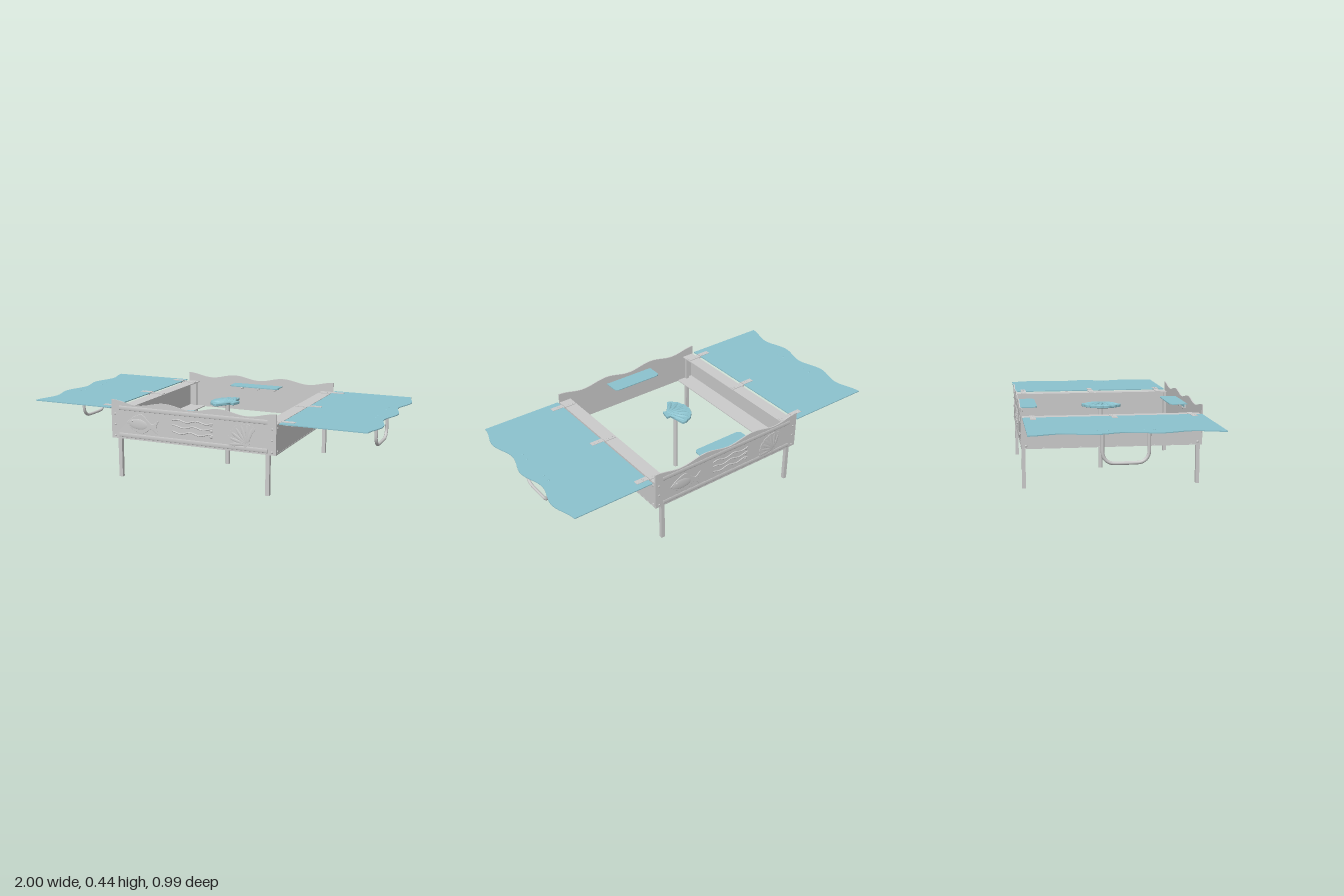
import * as THREE from 'three';

const grey = new THREE.MeshStandardMaterial({ color: 0xcccccc });
const blue = new THREE.MeshStandardMaterial({ color: 0x8cc3cf });

function add(parent, name, geometry, material, x = 0, y = 0, z = 0) {
  const m = new THREE.Mesh(geometry, material);
  m.name = name;
  m.position.set(x, y, z);
  parent.add(m);
  return m;
}
const box = (parent, name, mat, w, h, d, x, y, z) =>
  add(parent, name, new THREE.BoxGeometry(w, h, d), mat, x, y, z);

function sub(parent, name) {
  const g = new THREE.Group();
  g.name = name;
  parent.add(g);
  return g;
}

const v2 = (pts) => pts.map(([x, y]) => new THREE.Vector2(x, y));
const extrude = (shape, depth, bevel = 0) => new THREE.ExtrudeGeometry(shape, {
  depth, curveSegments: 12, bevelEnabled: bevel > 0, bevelSize: bevel, bevelThickness: bevel, bevelSegments: 3,
});

function tube(points, radius, closed = false) {
  const curve = new THREE.CatmullRomCurve3(points.map((p) => new THREE.Vector3(...p)), closed, 'centripetal');
  return new THREE.TubeGeometry(curve, 48, radius, 8, closed);
}

// Scallop shell in the XY plane: hinge at the bottom, ribs fanning upward
function shell(parent, name, mat, size, thick) {
  const g = sub(parent, name);
  const pts = [[-0.2, -0.08], [0.2, -0.08], [0.17, 0.1]];
  for (let i = 0; i <= 42; i++) {
    const t = i / 42, a = -1.15 + 2.3 * t;
    const r = 0.82 + 0.18 * Math.cos(a) + 0.04 * Math.abs(Math.sin(t * Math.PI * 7));
    pts.push([Math.sin(-a) * -r * -1, Math.cos(a) * r]);
  }
  pts.push([-0.17, 0.1]);
  add(g, 'shellPlate', extrude(new THREE.Shape(v2(pts.map(([x, y]) => [x * size, y * size]))), thick, thick * 0.3), mat);
  for (let i = 0; i < 7; i++) {
    const a = -0.98 + i * 0.327, r = size * (0.82 + 0.18 * Math.cos(a));
    const rib = add(g, 'shellRib', new THREE.SphereGeometry(1, 12, 8), mat,
      Math.sin(a) * r * 0.52, Math.cos(a) * r * 0.52, thick);
    rib.scale.set(size * 0.085, r * 0.47, thick);
    rib.rotation.z = -a;
  }
  return g;
}

// Five-armed starfish with a raised ridge on each arm
function starfish(parent, size, mat) {
  const g = sub(parent, 'starfishRelief');
  const pts = [];
  for (let i = 0; i < 10; i++) {
    const r = size * (i % 2 ? 0.4 : 1), a = i * Math.PI / 5;
    pts.push([Math.sin(a) * r, Math.cos(a) * r]);
  }
  const outline = new THREE.SplineCurve(v2([...pts, pts[0]])).getPoints(60);
  add(g, 'starBody', extrude(new THREE.Shape(outline), 0.003, 0.002), mat);
  for (let i = 0; i < 5; i++) {
    const a = i * Math.PI * 0.4;
    const arm = add(g, 'starArm', new THREE.SphereGeometry(1, 12, 8), mat, Math.sin(a) * size * 0.45, Math.cos(a) * size * 0.45, 0.004);
    arm.scale.set(size * 0.12, size * 0.45, 0.006);
    arm.rotation.z = -a;
  }
  return g;
}

// Long decorated end panel, facing +z, with a wavy top edge
function endPanel(parent, name) {
  const g = sub(parent, name);
  const pts = [[-0.488, 0.222], [0.488, 0.222]];
  for (let i = 0; i <= 64; i++) {
    const x = 0.488 - 0.976 * i / 64;
    pts.push([x, 0.427 - 0.012 * Math.cos(x * Math.PI * 2 / 0.325)]);
  }
  add(g, 'panelSheet', extrude(new THREE.Shape(v2(pts)), 0.006), grey, 0, 0, 0.479);
  const front = sub(g, 'panelRelief');
  front.position.z = 0.485;
  // Pressed border around the sheet
  for (const y of [0.243, 0.395]) {
    const bar = add(front, 'pressedBorder', new THREE.CylinderGeometry(1, 1, 0.88, 12), grey, 0, y, 0);
    bar.rotation.z = Math.PI / 2;
    bar.scale.set(0.012, 1, 0.002);
  }
  // Fish
  const fish = new THREE.SplineCurve(v2([[-0.09, 0], [-0.05, 0.035], [0, 0.055], [0.04, 0.025], [0.07, 0.01], [0.1, 0.035],
    [0.09, 0], [0.1, -0.035], [0.06, -0.015], [0.01, -0.05], [-0.05, -0.035], [-0.09, 0]])).getPoints(60);
  const f = sub(front, 'fishRelief');
  f.position.set(-0.3, 0.312, 0);
  f.rotation.z = -0.08;
  add(f, 'fishBody', extrude(new THREE.Shape(fish), 0.001, 0.002), grey);
  add(f, 'fishBelly', new THREE.SphereGeometry(1, 20, 12), grey, -0.02, 0, 0.002).scale.set(0.06, 0.03, 0.004);
  add(f, 'fishEye', new THREE.SphereGeometry(0.005, 10, 8), grey, -0.055, 0.012, 0.004);
  // Water lines with bubbles
  for (let k = 0; k < 3; k++) {
    const line = [];
    for (let i = 0; i <= 12; i++) line.push([-0.11 + i * 0.02, 0.355 - k * 0.033 + 0.006 * Math.sin(i * 1.1 + k), 0]);
    add(front, 'waterLine', tube(line, 0.004), grey);
    add(front, 'bubble', new THREE.SphereGeometry(0.009, 12, 8), grey, 0.12, 0.35 - k * 0.033, 0).scale.z = 0.4;
  }
  const s = shell(front, 'shellRelief', grey, 0.11, 0.002);
  s.position.set(0.325, 0.265, 0);
  s.rotation.z = 0.65;
  // Bolts at both ends
  for (const x of [-0.465, 0.465]) for (const y of [0.237, 0.3, 0.36])
    add(front, 'bolt', new THREE.SphereGeometry(0.006, 10, 8), grey, x, y, 0).scale.z = 0.6;

  // Small seat hung on the inside, with brackets
  const w = 0.158, d = 0.1, r = 0.03;
  const seat = new THREE.Shape();
  seat.moveTo(-w, 0).lineTo(w, 0).lineTo(w, d - r).quadraticCurveTo(w, d, w - r, d);
  seat.lineTo(r - w, d).quadraticCurveTo(-w, d, -w, d - r);
  const plate = add(g, 'seat', extrude(seat, 0.005), blue, 0, 0.388, 0.478);
  plate.rotation.x = -Math.PI / 2;
  box(g, 'seatFlange', blue, 0.28, 0.014, 0.005, 0, 0.379, 0.465);
  for (const x of [-0.11, 0, 0.11]) {
    box(g, 'seatBracket', grey, 0.018, 0.022, 0.014, x, 0.372, 0.472);
    add(g, 'seatPin', new THREE.SphereGeometry(0.006, 10, 8), grey, x, 0.365, 0.462);
  }
  return g;
}

// Side channel with top and bottom flanges, on +x
function sideRail(parent, name) {
  const g = sub(parent, name);
  box(g, 'railWeb', grey, 0.006, 0.163, 0.964, 0.483, 0.303, 0);
  box(g, 'railTop', grey, 0.074, 0.005, 0.964, 0.45, 0.382, 0);
  box(g, 'railBottom', grey, 0.112, 0.005, 0.964, 0.431, 0.224, 0);
  for (const y of [0.238, 0.362]) for (const z of [-0.46, -0.15, 0.15, 0.46])
    if (y > 0.3 || Math.abs(z) > 0.3) add(g, 'bolt', new THREE.SphereGeometry(0.007, 10, 8), grey, 0.486, y, z).scale.x = 0.6;
  for (const z of [-0.472, 0.472]) box(g, 'leg', grey, 0.022, 0.38, 0.02, 0.44, 0.19, z);
  // Hinges joining rail and lid
  for (const z of [-0.425, 0, 0.425]) {
    const h = sub(g, 'hinge');
    box(h, 'hingeLeaf', grey, 0.068, 0.004, 0.03, 0.454, 0.386, z);
    box(h, 'hingeLeaf', grey, 0.07, 0.011, 0.03, 0.535, 0.3875, z);
    add(h, 'hingePin', new THREE.CylinderGeometry(0.006, 0.006, 0.034, 12), grey, 0.495, 0.385, z).rotation.x = Math.PI / 2;
    for (const x of [0.435, 0.465, 0.525, 0.555]) {
      add(h, 'screw', new THREE.SphereGeometry(0.005, 8, 6), grey, x, x < 0.5 ? 0.388 : 0.393, z).scale.y = 0.5;
      if (x > 0.5) box(h, 'hingeNut', grey, 0.014, 0.012, 0.018, x, 0.379, z);
    }
  }
  return g;
}

// Folding lid with wavy outer edge, U handle and underside relief; wave flips the edge phase
function lid(parent, name, wave) {
  const g = sub(parent, name);
  const pts = [[0.5, -0.478], [0.5, 0.478]];
  for (let i = 0; i <= 64; i++) {
    const z = 0.478 - 0.956 * i / 64;
    pts.push([0.982 + wave * 0.018 * Math.cos(z * Math.PI * 2 / 0.319), z]);
  }
  const sheet = add(g, 'lidSheet', extrude(new THREE.Shape(v2(pts)), 0.005), blue, 0, 0.386, 0);
  sheet.rotation.x = -Math.PI / 2;
  const hx = 0.913, c = [];
  for (let i = 0; i <= 6; i++) {
    const a = i * Math.PI / 12;
    c.push([hx, 0.283 - 0.054 * Math.sin(a), 0.06 + 0.054 * Math.cos(a)]);
  }
  const path = [[hx, 0.386, 0.114], [hx, 0.33, 0.114], ...c, ...c.map(([x, y, z]) => [x, y, -z]).reverse(),
    [hx, 0.33, -0.114], [hx, 0.386, -0.114]];
  add(g, 'handle', tube(path, 0.009), grey);
  for (const z of [-0.14, -0.09, 0.09, 0.14]) {
    box(g, 'handleFoot', grey, 0.016, 0.01, 0.022, hx, 0.38, z);
    add(g, 'handleScrew', new THREE.SphereGeometry(0.006, 8, 6), blue, hx, 0.391, z).scale.y = 0.4;
  }
  const relief = wave > 0 ? starfish(g, 0.19, blue) : shell(g, 'lidShellRelief', blue, 0.26, 0.003);
  relief.position.set(wave > 0 ? 0.74 : 0.62, 0.386, 0);
  relief.rotation.set(Math.PI / 2, 0, -Math.PI / 2);
  return g;
}

export function createModel() {
  const model = new THREE.Group();
  model.name = 'sandboxTable';
  for (const side of [1, -1]) {
    const turn = side > 0 ? 0 : Math.PI;
    endPanel(model, side > 0 ? 'frontPanel' : 'backPanel').rotation.y = turn;
    sideRail(model, side > 0 ? 'leftRail' : 'rightRail').rotation.y = turn;
    lid(model, side > 0 ? 'leftLid' : 'rightLid', side).rotation.y = turn;
  }
  // Centre post topped with a shell
  add(model, 'centrePost', new THREE.CylinderGeometry(0.012, 0.012, 0.372, 16), grey, 0, 0.186, 0);
  const top = shell(model, 'centreShell', blue, 0.135, 0.01);
  top.position.set(0.05, 0.368, 0.015);
  top.rotation.set(-Math.PI / 2, 0, 1.35);
  return model;
}
